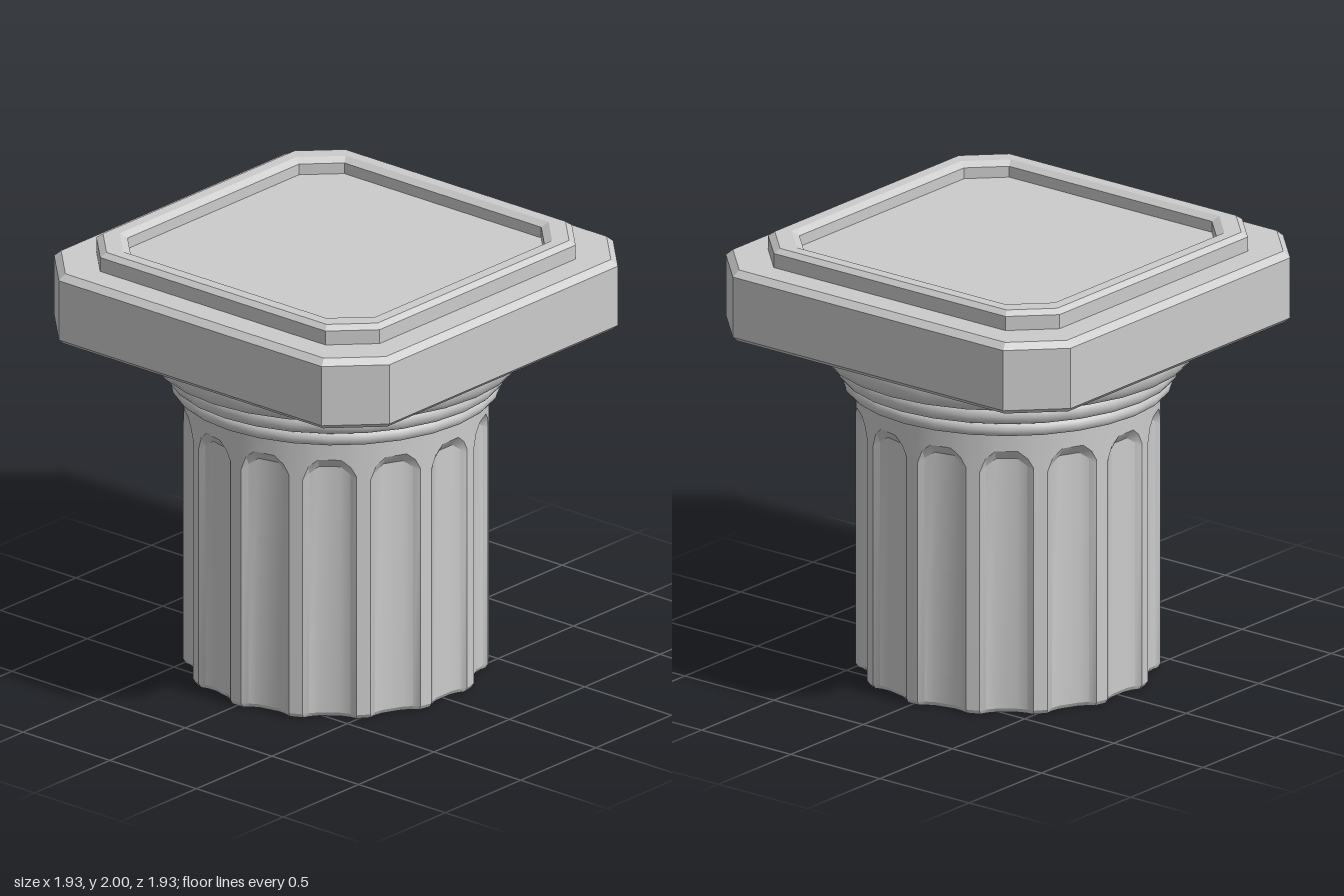
import * as THREE from 'three';
import { toCreasedNormals } from 'three/addons/utils/BufferGeometryUtils.js';

const FLUTES = 14;
const RADIUS = 0.665;
const DEG = Math.PI / 180;

// Skin between closed rings of [x, y, z] points, with optional end caps.
function loft(rings, capBottom, capTop, crease) {
  const pos = [];
  const tri = (a, b, c) => pos.push(...a, ...b, ...c);
  const n = rings[0].length;
  for (let k = 0; k < rings.length - 1; k++) {
    for (let i = 0; i < n; i++) {
      const j = (i + 1) % n, lo = rings[k], hi = rings[k + 1];
      tri(lo[i], lo[j], hi[j]);
      tri(lo[i], hi[j], hi[i]);
    }
  }
  const first = rings[0], last = rings[rings.length - 1];
  for (let i = 0; i < n; i++) {
    const j = (i + 1) % n;
    if (capBottom) tri([0, first[0][1], 0], first[j], first[i]);
    if (capTop) tri([0, last[0][1], 0], last[i], last[j]);
  }
  const geo = new THREE.BufferGeometry();
  geo.setAttribute('position', new THREE.Float32BufferAttribute(pos, 3));
  return toCreasedNormals(geo, crease);
}

// Square with cut corners: h = half width, c = half length of the straight side.
function octagon([h, c, y]) {
  return [[-c, h], [c, h], [h, c], [h, -c], [c, -h], [-c, -h], [-h, -c], [-h, c]]
    .map(([x, z]) => [x, y, z]);
}

// One flute across its pitch: angle, depth, height of its end inside and at the lip.
const FLUTE = [
  { a: -10.2, d: 0, inner: 1.12, lip: 1.14 },
  { a: -8, d: 0.02, inner: 1.145, lip: 1.185 },
  { a: -4.3, d: 0.036, inner: 1.175, lip: 1.22 },
  { a: 4.3, d: 0.036, inner: 1.175, lip: 1.22 },
  { a: 8, d: 0.02, inner: 1.145, lip: 1.185 },
  { a: 10.2, d: 0, inner: 1.12, lip: 1.14 },
];

function shaftRing(radius, height) {
  const ring = [];
  for (let f = 0; f < FLUTES; f++) {
    for (const p of FLUTE) {
      const a = f * 2 * Math.PI / FLUTES + p.a * DEG, r = radius(p);
      ring.push([r * Math.sin(a), height(p), r * Math.cos(a)]);
    }
  }
  return ring;
}

// Rounded ring moulding between two heights.
function moulding(r, y0, y1) {
  const h = y1 - y0, b = h * 0.5, steps = 6;
  const pts = [new THREE.Vector2(0.6, y0)];
  for (let i = 0; i <= steps; i++) {
    const t = -Math.PI / 2 + Math.PI * i / steps;
    pts.push(new THREE.Vector2(r - b * 0.75 + b * 0.75 * Math.cos(t), y0 + b + b * Math.sin(t)));
  }
  pts.push(new THREE.Vector2(0.6, y1));
  return toCreasedNormals(new THREE.LatheGeometry(pts, FLUTES * 2), 0.6);
}

export function createModel() {
  const group = new THREE.Group();
  const material = new THREE.MeshStandardMaterial({ color: 0xcccccc });
  const add = (name, geometry) => {
    const mesh = new THREE.Mesh(geometry, material);
    mesh.name = name;
    group.add(mesh);
  };

  // Fluted shaft with a small bevel at the foot and arched flute ends
  add('flutedShaft', loft([
    shaftRing(p => RADIUS - p.d - 0.012, () => 0),
    shaftRing(p => RADIUS - p.d, () => 0.02),
    shaftRing(p => RADIUS - p.d, p => p.inner),
    shaftRing(() => RADIUS, p => p.lip),
    shaftRing(() => RADIUS, () => 1.32),
  ], true, true, 0.45));

  // Ring mouldings, widening towards the slab
  add('lowerRing', moulding(0.725, 1.305, 1.372));
  add('middleRing', moulding(0.755, 1.368, 1.455));
  add('upperRing', moulding(0.835, 1.45, 1.595));

  // Slab with cut corners and bevelled edges
  add('slab', loft([
    [0.947, 0.75, 1.59], [0.967, 0.758, 1.61],
    [0.967, 0.758, 1.888], [0.937, 0.746, 1.915],
  ].map(octagon), true, true, 0.1));

  // Raised rim around a sunken panel
  add('topRim', loft([
    [0.817, 0.65, 1.91], [0.817, 0.65, 1.98], [0.792, 0.635, 2],
    [0.738, 0.585, 2], [0.708, 0.568, 1.98], [0.708, 0.568, 1.93],
  ].map(octagon), false, true, 0.1));

  return group;
}
